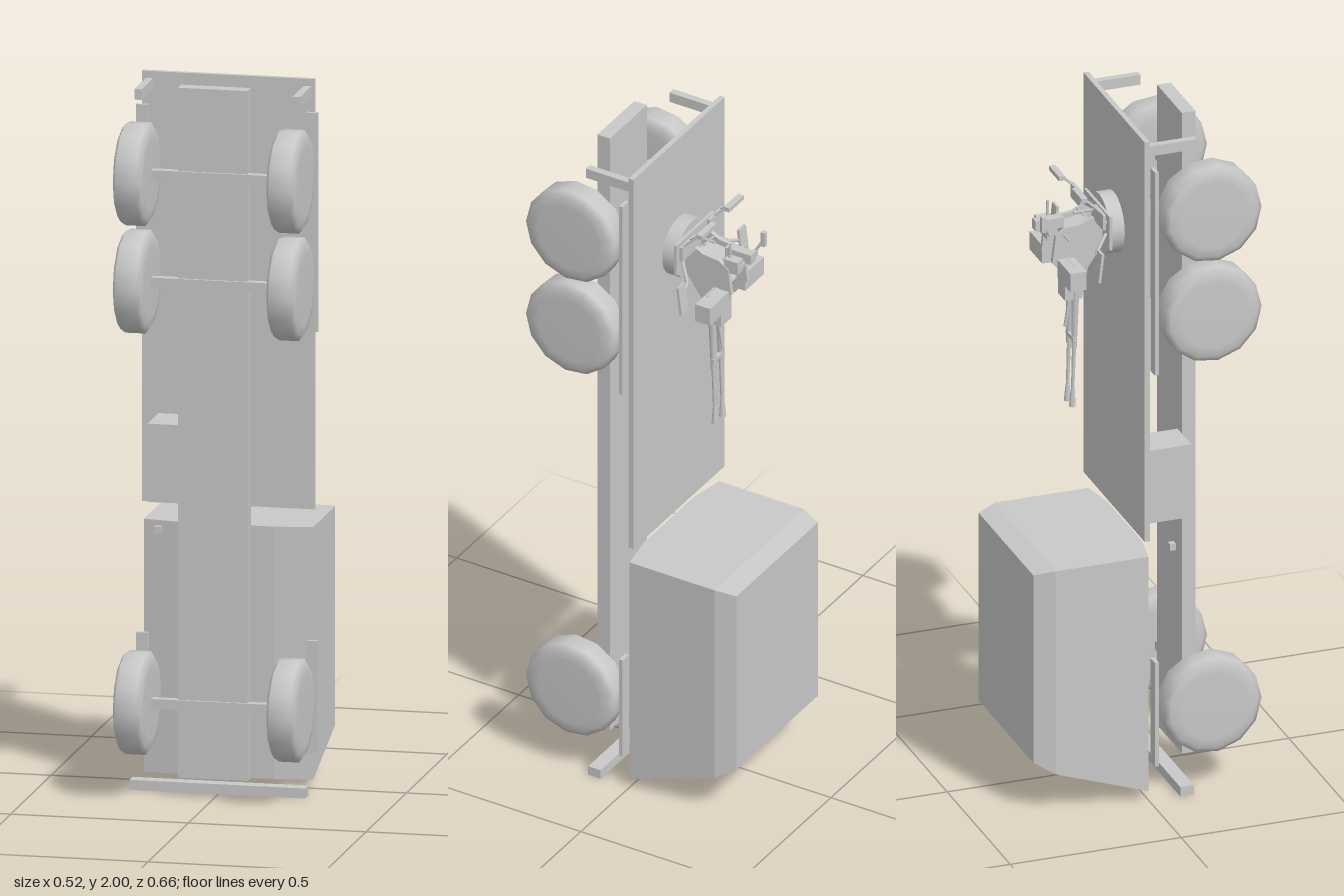
import * as THREE from 'three';

export function createModel() {
  const grey = new THREE.MeshStandardMaterial({ color: 0xc8c8c8 });
  const model = new THREE.Group();
  model.name = 'gunTruck';
  const V = (a) => new THREE.Vector3(...a);

  function add(name, geometry, parent = model) {
    const mesh = new THREE.Mesh(geometry, grey);
    mesh.name = name;
    parent.add(mesh);
    return mesh;
  }
  // Box from its lower and upper limits on each axis
  function box(name, x0, x1, y0, y1, z0, z1, parent) {
    const m = add(name, new THREE.BoxGeometry(x1 - x0, y1 - y0, z1 - z0), parent);
    m.position.set((x0 + x1) / 2, (y0 + y1) / 2, (z0 + z1) / 2);
    return m;
  }
  // Straight tapered rod between two points
  function rod(name, a, b, r0, r1, parent, sides = 6) {
    const p = V(a), q = V(b), d = q.clone().sub(p);
    const m = add(name, new THREE.CylinderGeometry(r1, r0, d.length(), sides), parent);
    m.position.copy(p).add(q).multiplyScalar(0.5);
    m.quaternion.setFromUnitVectors(new THREE.Vector3(0, 1, 0), d.normalize());
    return m;
  }
  // Side outline given as [z, y] points, extruded from x0 to x1
  function sidePlate(name, pts, x0, x1, parent) {
    const shape = new THREE.Shape(pts.map(([z, y]) => new THREE.Vector2(-z, y)));
    const g = new THREE.ExtrudeGeometry(shape, { depth: x1 - x0, bevelEnabled: false });
    g.rotateY(Math.PI / 2).translate(x0, 0, 0);
    return add(name, g, parent);
  }
  // Solid lofted through rectangles [z, halfWidth, yLow, yHigh]
  function loft(levels) {
    const pos = [];
    const ring = ([z, w, y0, y1]) => [[-w, y0, z], [w, y0, z], [w, y1, z], [-w, y1, z]];
    const quad = (a, b, c, d) => pos.push(...a, ...b, ...c, ...a, ...c, ...d);
    const rings = levels.map(ring);
    for (let i = 0; i + 1 < rings.length; i++) {
      for (let k = 0; k < 4; k++) {
        const n = (k + 1) % 4;
        quad(rings[i][k], rings[i + 1][k], rings[i + 1][n], rings[i][n]);
      }
    }
    const last = rings[rings.length - 1];
    quad(...rings[0]);
    quad(last[3], last[2], last[1], last[0]);
    const g = new THREE.BufferGeometry();
    g.setAttribute('position', new THREE.Float32BufferAttribute(pos, 3));
    g.computeVertexNormals();
    return g;
  }

  // Chassis, load bed and cab
  box('chassis', -0.1, 0.096, 0.06, 2, 0.15, 0.19);
  box('bed', -0.244, 0.241, 0.79, 2, -0.012, 0.003);
  add('cab', loft([
    [0.02, 0.133, 0.03, 0.74],
    [0.002, 0.238, 0.03, 0.74],
    [-0.27, 0.238, 0.125, 0.74],
    [-0.328, 0.217, 0.16, 0.728],
  ]));
  box('bumper', -0.25, 0.245, 0.005, 0.033, 0.09, 0.13);
  box('fuelTank', -0.197, -0.088, 0.82, 1.04, 0.005, 0.142);
  box('exhaust', -0.187, -0.169, 0.722, 0.742, 0.083, 0.1);

  // Smooth tyres with rounded shoulders, on square axles
  const tyreProfile = [[0, -0.042], [0.1, -0.042], [0.128, -0.039], [0.144, -0.028],
    [0.144, 0.028], [0.128, 0.039], [0.1, 0.042], [0, 0.042]]
    .map(([r, h]) => new THREE.Vector2(r, h));
  const tyre = new THREE.LatheGeometry(tyreProfile, 13).rotateZ(Math.PI / 2);
  for (const y of [1.752, 1.45, 0.265]) {
    box('axle', -0.18, 0.18, y - 0.014, y + 0.014, 0.173, 0.198);
    for (const s of [-1, 1]) add('wheel', tyre).position.set(s * 0.216, y, 0.186);
  }

  // Fenders and rear brackets
  for (const s of [-1, 1]) {
    const c = s * 0.239;
    box('rearFender', c - 0.017, c + 0.017, 1.295, 1.91, 0.013, 0.025);
    box('frontFender', c - 0.017, c + 0.017, 0.11, 0.425, 0.013, 0.025);
    box('rearBracket', s * 0.2225 - 0.0105, s * 0.2225 + 0.0105, 1.95, 1.98, 0.003, 0.145);
  }

  // Gun pedestal and turntable
  const gun = new THREE.Group();
  gun.name = 'gun';
  model.add(gun);
  rod('pedestal', [0, 1.657, -0.01], [0, 1.657, -0.055], 0.087, 0.087, gun, 32);
  box('turntable', -0.105, 0.097, 1.62, 1.72, -0.063, -0.055, gun);

  // Gun carriage: two side cheeks around the breech
  const cheek = [[-0.06, 1.68], [-0.09, 1.70], [-0.12, 1.685], [-0.17, 1.68],
    [-0.2, 1.66], [-0.21, 1.58], [-0.17, 1.53], [-0.12, 1.53], [-0.06, 1.62]];
  for (const s of [-1, 1]) sidePlate('cheek', cheek, s * 0.043 - 0.006, s * 0.043 + 0.006, gun);
  sidePlate('breech', [[-0.09, 1.68], [-0.165, 1.67], [-0.165, 1.45], [-0.115, 1.45],
    [-0.1, 1.53]], -0.028, 0.028, gun);
  rod('trunnion', [-0.1, 1.58, -0.165], [0.1, 1.58, -0.165], 0.012, 0.012, gun, 8);

  // Twin barrels with flared muzzles
  for (const s of [-1, 1]) {
    const x = s * 0.02;
    rod('barrelSleeve', [x, 1.48, -0.132], [x, 1.3, -0.136], 0.012, 0.008, gun, 8);
    rod('barrel', [x, 1.3, -0.136], [x, 1.17, -0.14], 0.006, 0.005, gun, 8);
    rod('muzzle', [x, 1.175, -0.14], [x, 1.125, -0.141], 0.006, 0.01, gun, 8);
  }
  box('barrelClamp', -0.03, 0.03, 1.325, 1.335, -0.143, -0.131, gun);
  rod('recoilRod', [0, 1.45, -0.14], [0, 1.36, -0.155], 0.006, 0.005, gun);

  // Ammunition boxes, seats, backrests and side shields, one set per gunner
  for (const s of [-1, 1]) {
    const crew = new THREE.Group();
    crew.name = s > 0 ? 'leftStation' : 'rightStation';
    crew.position.z = s > 0 ? -0.008 : 0;
    gun.add(crew);
    const span = (name, a, b, ...rest) =>
      box(name, Math.min(s * a, s * b), Math.max(s * a, s * b), ...rest, crew);
    span('ammunitionBox', 0.05, 0.15, 1.535, 1.59, -0.195, -0.147);
    span('seat', 0.042, 0.118, 1.69, 1.735, -0.087, -0.078);
    span('backrest', 0.04, 0.118, 1.782, 1.795, -0.15, -0.132);
    rod('seatPost', [s * 0.08, 1.69, -0.06], [s * 0.08, 1.71, -0.08], 0.006, 0.006, crew);
    for (const x of [0.068, 0.108]) {
      rod('backrestStrut', [s * x, 1.73, -0.08], [s * 0.09, 1.785, -0.136], 0.003, 0.003, crew);
    }
    // Outrigger arm carrying a tilted plate
    rod('arm', [s * 0.08, 1.66, -0.065], [s * 0.12, 1.63, -0.105], 0.005, 0.005, crew);
    rod('arm', [s * 0.12, 1.63, -0.105], [s * 0.17, 1.61, -0.117], 0.005, 0.005, crew);
    span('sidePlate', 0.15, 0.186, 1.565, 1.65, -0.121, -0.113).rotation.x = 0.12;
  }

  // Sighting gear on top of the carriage
  box('sightBeam', -0.06, 0.045, 1.66, 1.675, -0.23, -0.218, gun);
  box('sightBox', -0.02, 0.008, 1.67, 1.70, -0.248, -0.165, gun);
  box('sightHead', -0.075, -0.061, 1.69, 1.735, -0.25, -0.238, gun);
  rod('sightArm', [-0.058, 1.67, -0.222], [-0.067, 1.71, -0.244], 0.004, 0.004, gun);
  box('controlBox', 0.016, 0.046, 1.65, 1.69, -0.228, -0.185, gun);
  rod('sightArm', [0.03, 1.68, -0.195], [0.03, 1.735, -0.195], 0.005, 0.004, gun);
  rod('handlePost', [0, 1.70, -0.063], [0, 1.70, -0.13], 0.004, 0.004, gun);
  rod('handleBar', [-0.028, 1.70, -0.11], [0.028, 1.70, -0.11], 0.003, 0.003, gun);
  rod('sideHandle', [-0.09, 1.66, -0.175], [-0.045, 1.66, -0.175], 0.004, 0.004, gun);

  return model;
}
